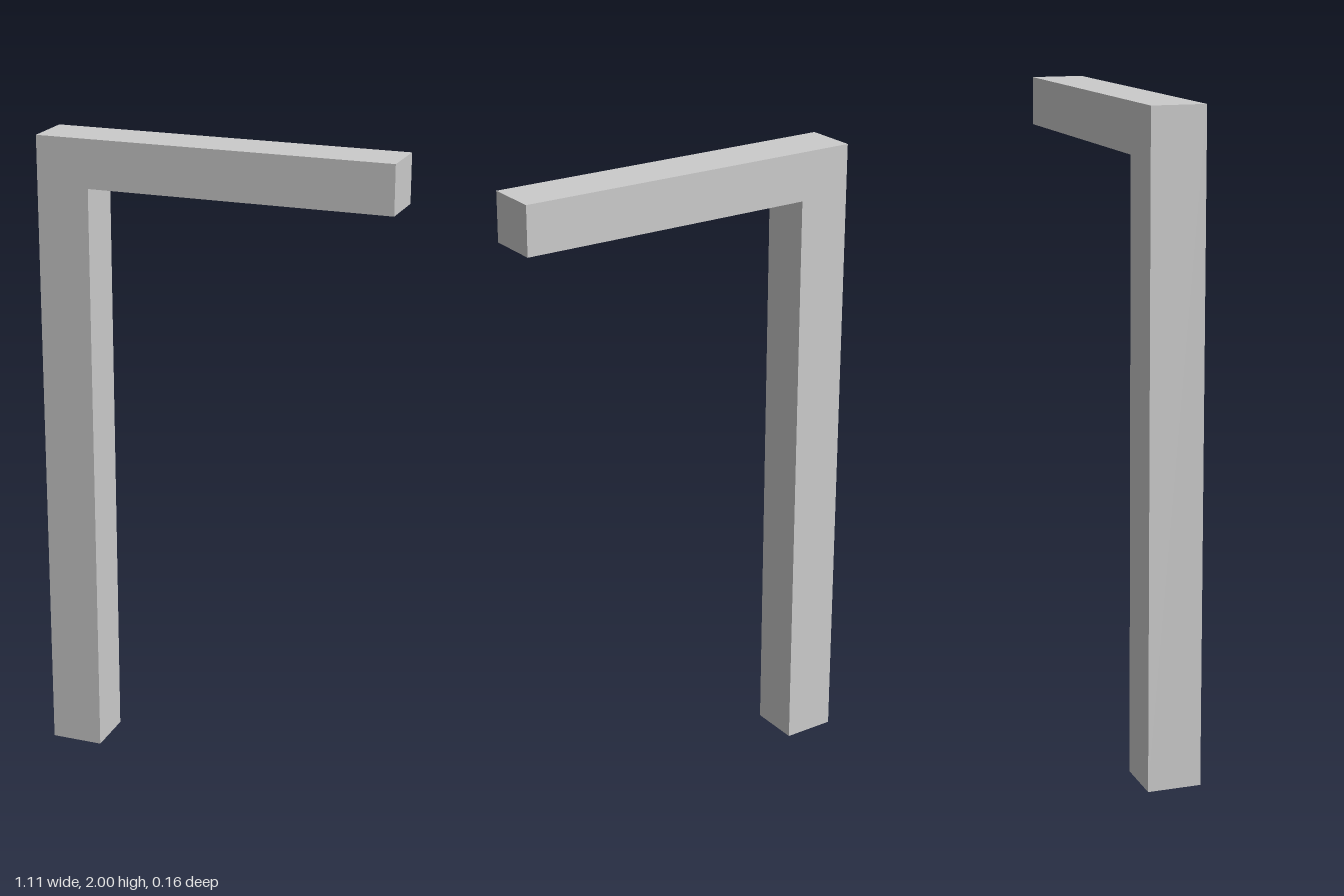
import * as THREE from 'three';

const HALF_X = 0.555, HALF_Z = 0.082;   // overall half extents
const POST_X = -0.39;                   // inner face of the post
const UNDER = 1.85, TOP = 2;            // arm underside and top
const LAMP = { x0: 0.065, x1: 0.425, z: 0.07, depth: 0.015 };

const rect = (path, x0, y0, x1, y1) =>
  path.moveTo(x0, y0).lineTo(x1, y0).lineTo(x1, y1).lineTo(x0, y1).closePath();

// Post and arm in one L-shaped extrusion, left open under the arm
function frameGeometry() {
  const outline = [
    [-HALF_X, 0], [POST_X, 0], [POST_X, UNDER],
    [HALF_X, UNDER], [HALF_X, TOP], [-HALF_X, TOP],
  ].map(([x, y]) => new THREE.Vector2(x, y));
  const solid = new THREE.ExtrudeGeometry(new THREE.Shape(outline), { depth: 2 * HALF_Z, bevelEnabled: false });
  solid.translate(0, 0, -HALF_Z);
  const p = solid.attributes.position, kept = [];
  for (let i = 0; i < p.count; i += 3) {
    const corners = [i, i + 1, i + 2];
    if (corners.every((k) => Math.abs(p.getY(k) - UNDER) < 1e-4)) continue;
    for (const k of corners) kept.push(p.getX(k), p.getY(k), p.getZ(k));
  }
  const geometry = new THREE.BufferGeometry();
  geometry.setAttribute('position', new THREE.Float32BufferAttribute(kept, 3));
  geometry.computeVertexNormals();
  return geometry;
}

// Arm underside with the lamp opening
function undersideGeometry() {
  const shape = new THREE.Shape();
  rect(shape, POST_X, -HALF_Z, HALF_X, HALF_Z);
  const hole = new THREE.Path();
  rect(hole, LAMP.x0, -LAMP.z, LAMP.x1, LAMP.z);
  shape.holes.push(hole);
  return new THREE.ShapeGeometry(shape).rotateX(Math.PI / 2).translate(0, UNDER, 0);
}

// Shallow lamp recess: a box turned inside out, without its bottom
function recessGeometry() {
  const geometry = new THREE.BoxGeometry(LAMP.x1 - LAMP.x0, LAMP.depth, 2 * LAMP.z);
  const faces = [...geometry.index.array].filter((_, i) => i < 18 || i >= 24);
  geometry.setIndex(faces.reverse());
  geometry.computeVertexNormals();
  return geometry.translate((LAMP.x0 + LAMP.x1) / 2, UNDER + LAMP.depth / 2, 0);
}

export function createModel() {
  const model = new THREE.Group();
  model.name = 'lampPost';
  const material = new THREE.MeshStandardMaterial({ color: 0xcccccc });
  const add = (name, geometry) => {
    const mesh = new THREE.Mesh(geometry, material);
    mesh.name = name;
    model.add(mesh);
  };
  add('postAndArm', frameGeometry());
  add('armUnderside', undersideGeometry());
  add('lampRecess', recessGeometry());
  return model;
}
